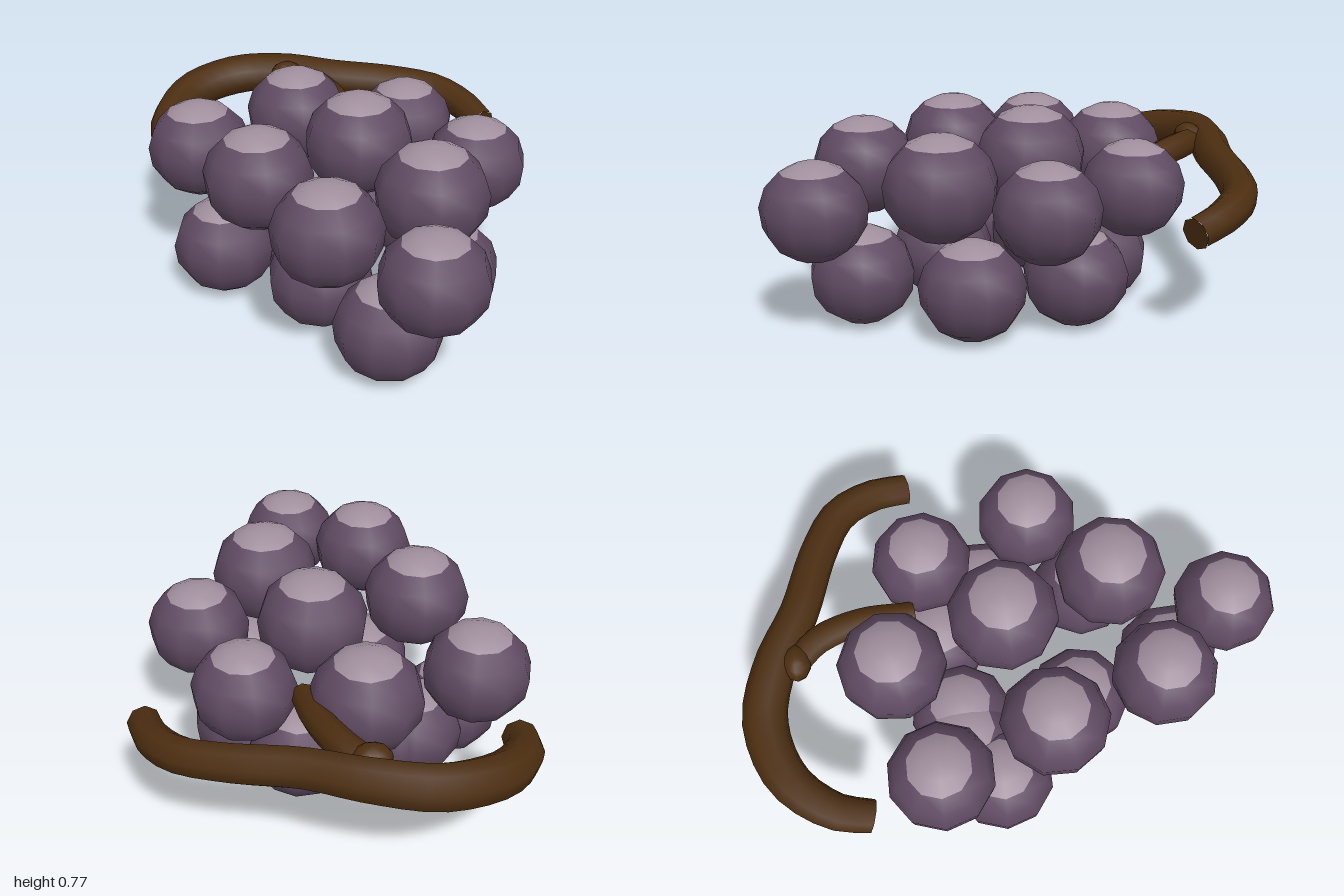
import * as THREE from 'three';

const mat = (name, color, side = THREE.FrontSide) => {
  const m = new THREE.MeshStandardMaterial({ color, side });
  m.name = name;
  return m;
};

export function createModel() {
  const model = new THREE.Group();
  const skin = mat('grapeSkin', 0x5f4a62);
  const bloom = mat('paleBloom', 0xa08e9d);
  const bark = mat('bark', 0x4c2e10);

  // Berry: faceted sphere split at a polar angle into skin and pale crown
  const split = 0.63;
  const crownGeo = new THREE.SphereGeometry(1, 10, 2, 0, Math.PI * 2, 0, split);
  const bodyGeo = new THREE.SphereGeometry(1, 10, 6, 0, Math.PI * 2, split, Math.PI - split);

  function berry(name, [x, y, z, r], turn) {
    const g = new THREE.Group();
    g.name = name;
    const body = new THREE.Mesh(bodyGeo, skin);
    body.name = 'berrySkin';
    const crown = new THREE.Mesh(crownGeo, bloom);
    crown.name = 'berryCrown';
    g.add(body, crown);
    g.position.set(x, y, z);
    g.scale.set(r, r * 0.94, r);
    g.rotation.y = turn;
    model.add(g);
  }

  // Upper layer: x, y, z, radius
  [
    [-0.53, 0.5, -0.31, 0.197], [-0.11, 0.525, -0.45, 0.202], [0.3, 0.495, -0.31, 0.19],
    [0.025, 0.575, -0.03, 0.207], [-0.39, 0.56, 0.11, 0.2], [0.44, 0.495, 0.105, 0.19],
    [0.165, 0.545, 0.385, 0.207], [-0.25, 0.545, 0.525, 0.195], [0.025, 0.477, 0.8, 0.19],
  ].forEach((b, i) => berry('upperBerry', b, i * 0.23));

  // Lower layer: x, z
  [
    [-0.49, -0.09], [-0.32, -0.215], [-0.22, -0.22], [0.1, -0.275],
    [0.29, -0.085], [0.26, 0.31], [-0.2, 0.24], [-0.06, 0.61],
  ].forEach(([x, z], i) => berry('lowerBerry', [x, 0.187, z, 0.195], i * 0.23));

  // Tapered tube with closed ends; radii are spread evenly along the path
  function branch(name, points, radii, rings) {
    const group = new THREE.Group();
    group.name = name;
    const curve = new THREE.CatmullRomCurve3(points.map((p) => new THREE.Vector3(...p)));
    const sides = 8;
    const geo = new THREE.TubeGeometry(curve, rings, 1, sides);
    const pos = geo.attributes.position;
    const v = new THREE.Vector3();
    const radiusAt = (t) => {
      const f = t * (radii.length - 1);
      const k = Math.min(Math.floor(f), radii.length - 2);
      return THREE.MathUtils.lerp(radii[k], radii[k + 1], f - k);
    };
    for (let i = 0; i <= rings; i++) {
      const c = curve.getPointAt(i / rings);
      for (let j = 0; j <= sides; j++) {
        const n = i * (sides + 1) + j;
        v.fromBufferAttribute(pos, n).sub(c).multiplyScalar(radiusAt(i / rings)).add(c);
        pos.setXYZ(n, v.x, v.y, v.z);
      }
    }
    geo.computeBoundingSphere();
    const tube = new THREE.Mesh(geo, bark);
    tube.name = name + 'Tube';
    group.add(tube);
    for (const t of [0, 1]) {
      const end = new THREE.Mesh(new THREE.CircleGeometry(radiusAt(t), sides), bark);
      end.name = name + 'End';
      const c = curve.getPointAt(t);
      end.position.copy(c);
      end.lookAt(c.clone().addScaledVector(curve.getTangentAt(t), t ? 1 : -1));
      group.add(end);
    }
    model.add(group);
  }

  // Curved vine behind the bunch
  branch('vine', [
    [-0.625, 0.4, -0.57], [-0.6, 0.44, -0.7], [-0.48, 0.49, -0.85], [-0.27, 0.52, -0.917],
    [-0.06, 0.53, -0.87], [0.14, 0.52, -0.775], [0.38, 0.5, -0.695], [0.54, 0.48, -0.61],
    [0.625, 0.45, -0.48], [0.655, 0.42, -0.35],
  ], [0.062, 0.072, 0.08, 0.082, 0.078, 0.072, 0.07, 0.067, 0.064, 0.06], 28);

  // Stalk joining the vine to the bunch
  branch('stalk', [
    [-0.07, 0.53, -0.8], [0.01, 0.545, -0.71], [0.07, 0.53, -0.56], [0.1, 0.49, -0.36],
  ], [0.05, 0.055, 0.052, 0.045], 12);

  // Knot where the stalk grows out of the vine
  const knot = new THREE.Mesh(new THREE.SphereGeometry(0.07, 10, 8), bark);
  knot.name = 'stalkKnot';
  knot.position.set(-0.07, 0.55, -0.79);
  knot.scale.set(1, 0.8, 0.75);
  model.add(knot);

  return model;
}
